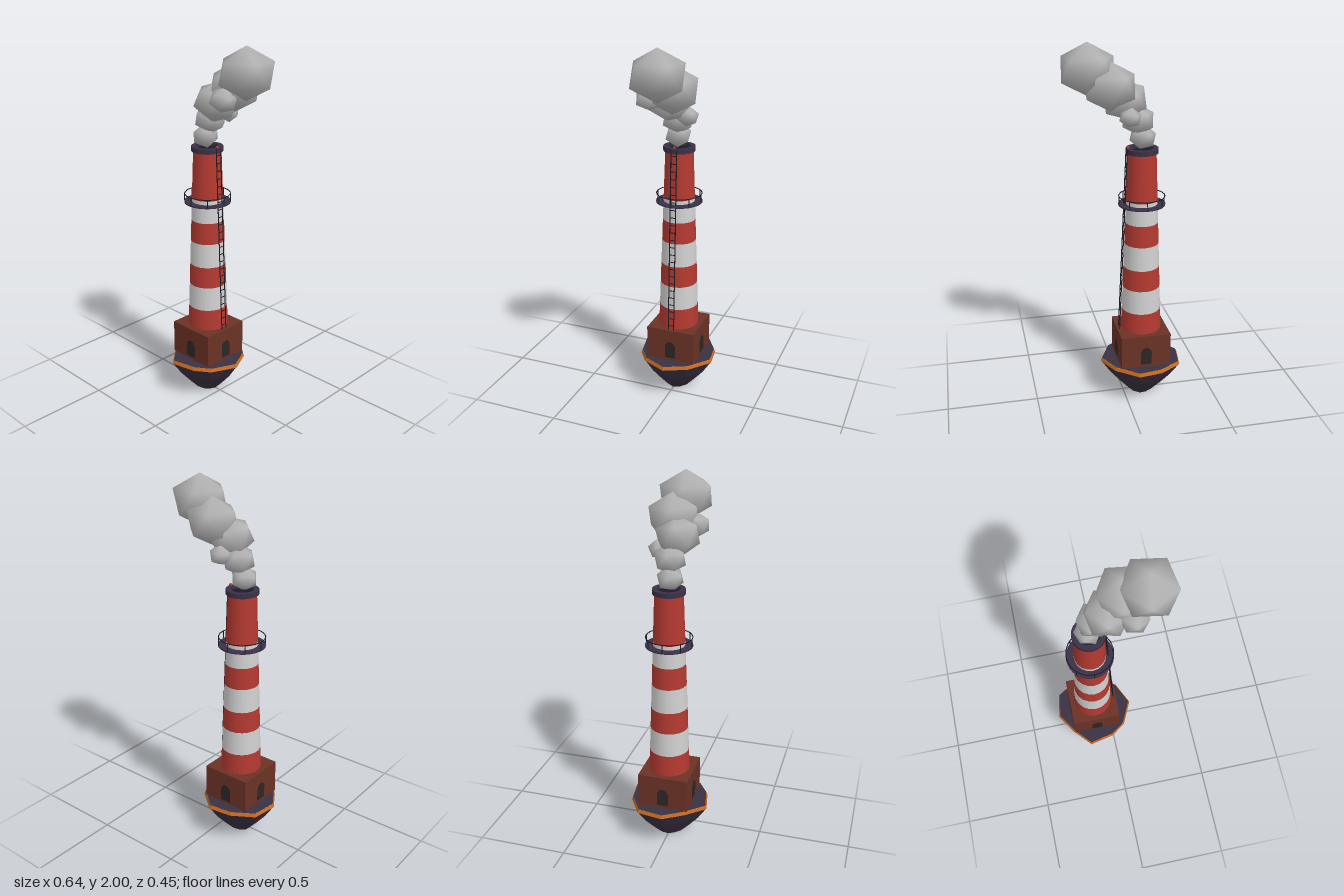
import * as THREE from 'three';
import { mergeVertices } from 'three/addons/utils/BufferGeometryUtils.js';

const CX = -0.102, CZ = -0.008; // tower axis

export function createModel() {
  const model = new THREE.Group();
  model.name = 'chimneyIsland';

  const mat = (name, color, flat = false) => {
    const m = new THREE.MeshStandardMaterial({ color, flatShading: flat });
    m.name = name;
    return m;
  };
  const rock = mat('darkRock', 0x3a3042, true);
  const orange = mat('orangeRim', 0xc8691f, true);
  const brick = mat('brownBrick', 0x6b3225);
  const red = mat('red', 0xb53a31);
  const white = mat('white', 0xd2d2d2);
  const steel = mat('darkSteel', 0x3a3148);
  const iron = mat('blackIron', 0x1d1a26);
  const doorMat = mat('doorDark', 0x2d2725);
  const smokeMat = mat('smokeGrey', 0xb4b4b4);

  const add = (name, geo, material, x = 0, y = 0, z = 0, parent = model) => {
    const mesh = new THREE.Mesh(geo, material);
    mesh.name = name;
    mesh.position.set(x, y, z);
    parent.add(mesh);
    return mesh;
  };

  // Straight rod between two points
  const rod = (name, a, b, r, material, parent) => {
    const dir = b.clone().sub(a);
    const m = add(name, new THREE.CylinderGeometry(r, r, dir.length(), 5), material, 0, 0, 0, parent);
    m.position.copy(a).lerp(b, 0.5);
    m.quaternion.setFromUnitVectors(new THREE.Vector3(0, 1, 0), dir.normalize());
  };

  // Floating rock: one irregular outline scaled through several heights
  const outline = [
    [0.13, 0.0], [0.066, 0.135], [-0.017, 0.192], [-0.158, 0.222], [-0.25, 0.12],
    [-0.322, 0.008], [-0.30, -0.133], [-0.18, -0.207], [-0.05, -0.225], [0.07, -0.127],
  ];
  const loft = (rows, capTop, capBottom) => {
    const n = outline.length, pos = [], idx = [];
    for (const [y, s] of rows)
      for (const [x, z] of outline) pos.push(CX + (x - CX) * s, y, z * s);
    const last = (rows.length - 1) * n;
    for (let i = 0; i < n; i++) {
      const j = (i + 1) % n;
      for (let r = 0; r < rows.length - 1; r++) {
        const a = r * n + i, b = r * n + j;
        idx.push(a, a + n, b, b, a + n, b + n);
      }
      if (capTop && i > 0 && i < n - 1) idx.push(last, last + j, last + i);
      if (capBottom && i > 0 && i < n - 1) idx.push(0, i, j);
    }
    const g = new THREE.BufferGeometry();
    g.setAttribute('position', new THREE.Float32BufferAttribute(pos, 3));
    g.setIndex(idx);
    g.computeVertexNormals();
    return g;
  };
  add('rockUnderside', loft([[0, 0.28], [0.055, 0.5], [0.125, 0.76], [0.203, 0.985]], false, true), rock);
  add('rockRim', loft([[0.203, 1], [0.222, 0.965]], false, true), orange);
  add('rockTop', loft([[0.2215, 0.955], [0.2225, 0.965]], true, false), rock);
  const spike = add('rockSpike', new THREE.ConeGeometry(0.007, 0.07, 5), rock, -0.009, 0.055, -0.005);
  spike.rotation.x = Math.PI;

  // Brick base house with an arched door on every side
  add('baseHouse', new THREE.BoxGeometry(0.278, 0.19, 0.278), brick, CX, 0.315, CZ);
  const arch = new THREE.Shape();
  arch.moveTo(-0.031, 0);
  arch.lineTo(0.031, 0);
  arch.lineTo(0.031, 0.077);
  arch.lineTo(0.016, 0.096);
  arch.lineTo(0, 0.102);
  arch.lineTo(-0.016, 0.096);
  arch.lineTo(-0.031, 0.077);
  const doorGeo = new THREE.ExtrudeGeometry(arch, { depth: 0.003, bevelEnabled: false });
  for (let i = 0; i < 4; i++) {
    const a = i * Math.PI / 2;
    const d = add('door', doorGeo, doorMat, CX + Math.sin(a) * 0.1385, 0.238, CZ + Math.cos(a) * 0.1385);
    d.rotation.y = a;
  }

  // Tapered striped tower
  const towerR = y => 0.112 - (y - 0.41) * 0.036;
  const bands = [0.41, 0.53, 0.665, 0.785, 0.92, 1.04, 1.165, 1.43];
  for (let i = 0; i < bands.length - 1; i++) {
    const [y0, y1] = [bands[i], bands[i + 1]];
    add(i % 2 ? 'whiteBand' : 'redBand',
      new THREE.CylinderGeometry(towerR(y1), towerR(y0), y1 - y0, 18, 1, true),
      i % 2 ? white : red, CX, (y0 + y1) / 2, CZ);
  }

  // Flat ring used for the walkway and the chimney cap
  const ring = (rIn, rOut, h) => {
    const s = new THREE.Shape().absarc(0, 0, rOut, 0, Math.PI * 2);
    s.holes.push(new THREE.Path().absarc(0, 0, rIn, 0, Math.PI * 2, true));
    return new THREE.ExtrudeGeometry(s, { depth: h, bevelEnabled: false, curveSegments: 16 })
      .rotateX(-Math.PI / 2);
  };
  add('chimneyCap', ring(0.06, 0.086, 0.026), steel, CX, 1.424, CZ);
  add('chimneyMouth', new THREE.CylinderGeometry(0.065, 0.065, 0.006, 16), iron, CX, 1.43, CZ);

  // Walkway with railing
  add('walkway', ring(0.08, 0.126, 0.007), steel, CX, 1.138, CZ);
  const railing = new THREE.Group();
  railing.name = 'railing';
  railing.position.set(CX, 0, CZ);
  model.add(railing);
  const rail = add('handrail', new THREE.TorusGeometry(0.124, 0.0028, 5, 20), iron, 0, 1.187, 0, railing);
  rail.rotation.x = Math.PI / 2;
  for (let i = 0; i < 8; i++) {
    const a = i * Math.PI / 4;
    add('railPost', new THREE.CylinderGeometry(0.0026, 0.0026, 0.048, 5), iron,
      Math.cos(a) * 0.124, 1.164, Math.sin(a) * 0.124, railing);
  }

  // Ladder leaning along the tower's left side
  const ladder = new THREE.Group();
  ladder.name = 'ladder';
  model.add(ladder);
  const ladderX = y => 0.023 - (y - 0.41) * 0.041;
  for (const s of [-1, 1])
    rod('ladderRail', new THREE.Vector3(ladderX(0.41), 0.41, CZ + s * 0.016),
      new THREE.Vector3(ladderX(1.45), 1.45, CZ + s * 0.016), 0.003, iron, ladder);
  for (let i = 0; i < 24; i++) {
    const y = 0.435 + i * 0.0425;
    rod('ladderRung', new THREE.Vector3(ladderX(y), y, CZ - 0.016),
      new THREE.Vector3(ladderX(y), y, CZ + 0.016), 0.0025, iron, ladder);
  }
  add('warningLamp', new THREE.SphereGeometry(0.009, 8, 6), red, -0.026, 1.455, CZ);

  // Smoke puffs: soft-shaded icosahedra standing on one corner
  const puffGeo = () => {
    let g = new THREE.IcosahedronGeometry(1, 0);
    g.deleteAttribute('normal');
    g.deleteAttribute('uv');
    g = mergeVertices(g, 1e-4);
    g.rotateZ(Math.atan(2 / (1 + Math.sqrt(5)))); // bring a corner to the top
    g.computeVertexNormals();
    return g;
  };
  const puff = puffGeo();
  const puffs = [ // x, y, z, radius
    [-0.106, 1.505, 0, 0.065],
    [-0.078, 1.60, -0.01, 0.08],
    [-0.02, 1.63, -0.085, 0.052],
    [-0.014, 1.70, 0.012, 0.108],
    [0.07, 1.78, -0.035, 0.126],
    [0.1, 1.735, 0.078, 0.066],
    [0.18, 1.865, 0, 0.135],
  ];
  puffs.forEach(([x, y, z, r], i) => {
    const p = add('smokePuff', puff, smokeMat, x, y, z);
    p.scale.set(r * 1.14, r, r * 1.14);
    p.rotation.y = i === 6 ? 0.15 : i * 1.3;
    if (i < 6) p.rotation.z = 0.25 * Math.sin(i * 2.1 + 1);
  });

  return model;
}
